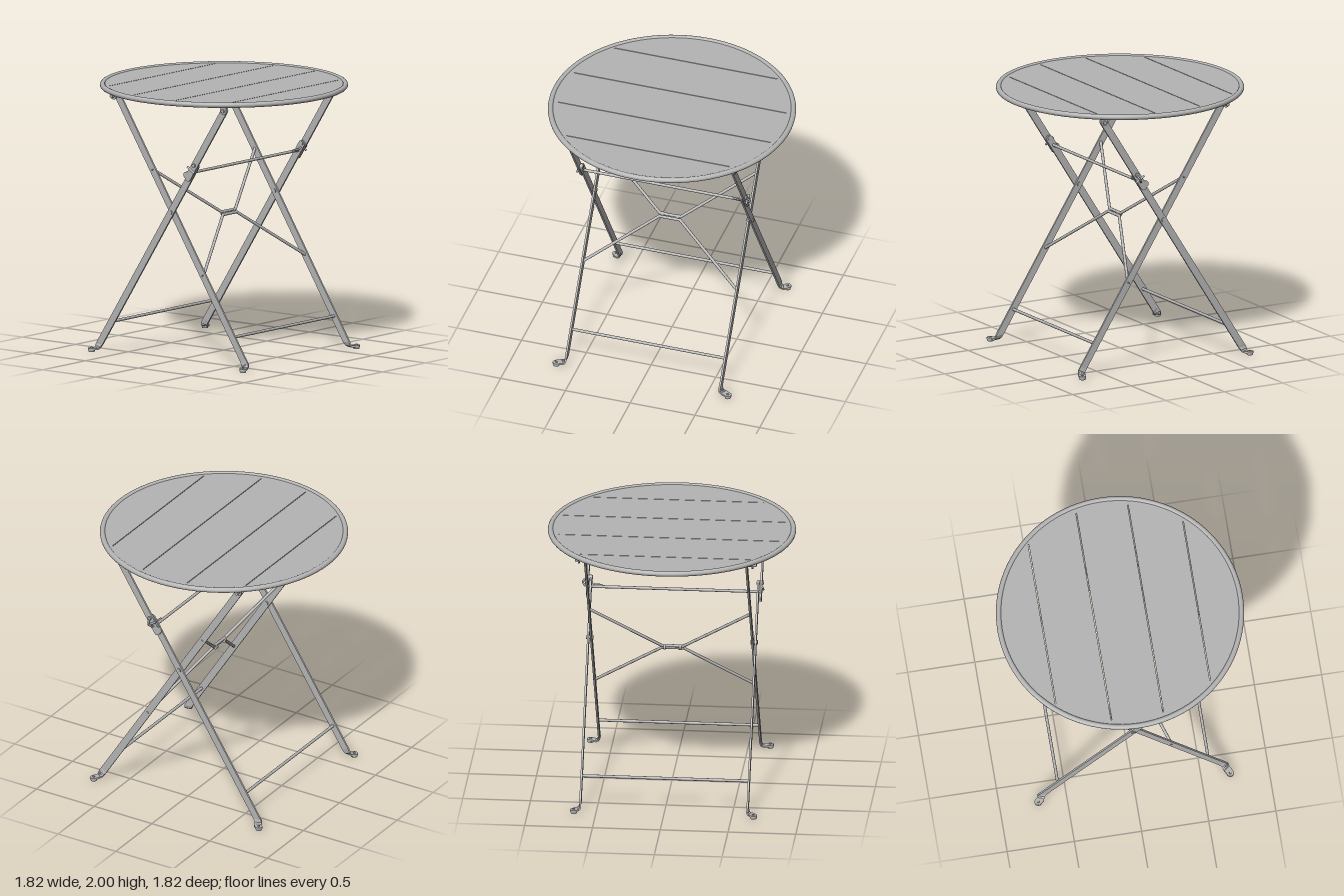
import * as THREE from 'three';

const steel = new THREE.MeshStandardMaterial({ color: 0xb4b4b4 });
steel.name = 'grey painted steel';

const V = (x, y, z) => new THREE.Vector3(x, y, z);
const SLOPE = 0.641;                                  // sideways run of a leg per unit of height
const LEAN = Math.atan(SLOPE);
const legX = (y, m) => m * (-0.525 + (1.93 - y) * SLOPE); // m = side of the foot
const INNER = 0.595, OUTER = 0.617, UPPER = 0.639;    // depth of each layer of flat bar
const WIDTH = 0.054, THICK = 0.014;

function add(parent, name, geometry, x = 0, y = 0, z = 0) {
  const mesh = new THREE.Mesh(geometry, steel);
  mesh.name = name;
  mesh.position.set(x, y, z);
  parent.add(mesh);
  return mesh;
}

// round bar between two points
function rod(parent, name, a, b, r = 0.011) {
  const mesh = add(parent, name, new THREE.CylinderGeometry(r, r, a.distanceTo(b), 14));
  mesh.position.copy(a).lerp(b, 0.5);
  mesh.quaternion.setFromUnitVectors(V(0, 1, 0), b.clone().sub(a).normalize());
  return mesh;
}

// bent round bar with smooth joints
function bentRod(parent, name, points, r = 0.011) {
  for (let i = 0; i + 1 < points.length; i++) rod(parent, name, points[i], points[i + 1], r);
  points.slice(1, -1).forEach(p => add(parent, name + 'Bend', new THREE.SphereGeometry(r, 14, 10), p.x, p.y, p.z));
}

// flat bar along a leg line, rounded at the ends asked for
function flatBar(parent, name, m, yTop, yLow, z, roundTop, roundLow) {
  const h = WIDTH / 2, len = (yTop - yLow) / Math.cos(LEAN);
  const s = new THREE.Shape();
  s.moveTo(-h, -len);
  if (roundLow) s.absarc(0, -len, h, Math.PI, 2 * Math.PI, false);
  else s.lineTo(h, -len);
  s.lineTo(h, 0);
  if (roundTop) s.absarc(0, 0, h, 0, Math.PI, false);
  else s.lineTo(-h, 0);
  const g = new THREE.ExtrudeGeometry(s, { depth: THICK, bevelEnabled: false, curveSegments: 10 });
  g.translate(0, 0, -THICK / 2);
  add(parent, name, g, legX(yTop, m), yTop, z).rotation.z = m * LEAN;
}

// foot: the flat bar twisted outward and laid flat
function foot(parent, m, s, z) {
  const wLeg = V(Math.cos(LEAN), m * Math.sin(LEAN), 0), wFoot = V(0.78, 0, -m * s * 0.62);
  const nLeg = V(0, 0, s), nFoot = V(0, 1, 0);
  const end = V(m * 0.715, 0.021, s * 0.662);
  const path = [
    [V(legX(0.07, m), 0.07, s * z), 0],
    [V(legX(0.042, m), 0.042, s * (z + 0.003)), 0.3],
    [V(m * 0.69, 0.028, s * (z + 0.012)), 0.65],
    [V(m * 0.695, 0.022, s * (z + 0.028)), 1],
    [end, 1],
  ];
  const pos = [], idx = [];
  path.forEach(([c, t], k) => {
    const w = wLeg.clone().lerp(wFoot, t).normalize().multiplyScalar(WIDTH / 2);
    const n = nLeg.clone().lerp(nFoot, t).normalize().multiplyScalar(THICK / 2);
    [[1, 1], [-1, 1], [-1, -1], [1, -1]].forEach(([a, b], i) => {
      pos.push(...c.clone().addScaledVector(w, a).addScaledVector(n, b).toArray());
      if (k === path.length - 1) return;
      const a0 = k * 4 + i, a1 = k * 4 + (i + 1) % 4, b0 = a0 + 4, b1 = a1 + 4;
      if (s > 0) idx.push(a0, a1, b1, a0, b1, b0);
      else idx.push(a0, b1, a1, a0, b0, b1);
    });
  });
  let g = new THREE.BufferGeometry();
  g.setAttribute('position', new THREE.Float32BufferAttribute(pos, 3));
  g.setIndex(idx);
  g = g.toNonIndexed();
  g.computeVertexNormals();
  add(parent, 'footBend', g);
  add(parent, 'footEnd', new THREE.CylinderGeometry(WIDTH / 2, WIDTH / 2, THICK, 20), end.x, end.y, end.z);
  add(parent, 'footGlide', new THREE.CylinderGeometry(0.025, 0.022, 0.014, 20), end.x, 0.007, end.z);
  add(parent, 'footScrew', new THREE.CylinderGeometry(0.008, 0.01, 0.008, 10), end.x, 0.031, end.z);
}

function bolt(parent, name, x, y, z0, z1, r) {
  rod(parent, name, V(x, y, z0), V(x, y, z1), r);
}

function tabletop() {
  const top = new THREE.Group();
  top.name = 'tabletop';
  // round sheet with four narrow slits
  const disc = new THREE.Shape();
  disc.absarc(0, 0, 0.89, 0, Math.PI * 2, false);
  [[-0.58, 0.63], [-0.195, 0.82], [0.19, 0.82], [0.57, 0.63]].forEach(([x, l]) => {
    const slit = new THREE.Path(), w = 0.003;
    slit.moveTo(x - w, -l);
    slit.lineTo(x - w, l);
    slit.lineTo(x + w, l);
    slit.lineTo(x + w, -l);
    disc.holes.push(slit);
  });
  const g = new THREE.ExtrudeGeometry(disc, { depth: 0.012, bevelEnabled: false, curveSegments: 48 });
  g.rotateX(-Math.PI / 2);
  add(top, 'slattedSheet', g, 0, 1.978, 0);
  add(top, 'rolledRim', new THREE.TorusGeometry(0.892, 0.02, 14, 96).rotateX(Math.PI / 2), 0, 1.98, 0);

  // rails and pivot tabs under the sheet
  for (const m of [-1, 1]) {
    const x = m * 0.525;
    add(top, 'underRail', new THREE.BoxGeometry(0.04, 0.014, 1.3), x, 1.971, 0);
    for (const s of [-1, 1]) {
      add(top, 'railScrew', new THREE.CylinderGeometry(0.011, 0.008, 0.022, 12), x, 1.955, s * 0.425);
      const tab = new THREE.Shape();
      tab.moveTo(0.03, 0.045);
      tab.lineTo(-0.03, 0.045);
      tab.lineTo(-0.028, 0);
      tab.absarc(0, 0, 0.028, Math.PI, 2 * Math.PI, false);
      const tg = new THREE.ExtrudeGeometry(tab, { depth: 0.01, bevelEnabled: false, curveSegments: 10 });
      tg.translate(0, 0, -0.005);
      const z = m > 0 ? UPPER + 0.015 : INNER + 0.045;
      add(top, 'pivotTab', tg, x, 1.926, s * z);
      bolt(top, 'pivotBolt', x, 1.926, s * (m > 0 ? 0.622 : 0.58), s * 0.67, 0.014);
    }
  }
  return top;
}

// frame whose feet stand on the +x side, with the crossed brace
function innerFrame() {
  const f = new THREE.Group();
  f.name = 'innerFrame';
  for (const s of [-1, 1]) {
    flatBar(f, 'innerLeg', 1, 1.93, 0.068, s * INNER, true, false);
    foot(f, 1, s, INNER);
    bolt(f, 'crossingRivet', 0, 1.11, s * 0.58, s * 0.632, 0.016);
    bolt(f, 'braceRivet', legX(1.035, 1) - 0.012, 1.035, s * 0.05, s * 0.066, 0.019);
  }
  rod(f, 'lowerRod', V(legX(0.235, 1), 0.235, -0.6), V(legX(0.235, 1), 0.235, 0.6));
  const at = (y, z) => V(legX(y, 1), y, z);
  for (const [yEnd, yMid] of [[1.41, 1.046], [0.66, 1.026]])
    bentRod(f, 'braceRod', [at(yEnd, 0.6), at(yMid, 0.08), at(yMid, -0.08), at(yEnd, -0.6)]);
  return f;
}

// frame whose feet stand on the -x side, with a jointed upper section
function outerFrame() {
  const f = new THREE.Group();
  f.name = 'outerFrame';
  const yRod = 1.43, xRod = legX(yRod, -1);
  for (const s of [-1, 1]) {
    flatBar(f, 'outerLeg', -1, 1.48, 0.068, s * OUTER, true, false);
    flatBar(f, 'upperLeg', -1, 1.93, 1.39, s * UPPER, true, true);
    foot(f, -1, s, OUTER);
    // latch hook, pin and joint bolt
    const hook = new THREE.CylinderGeometry(0.026, 0.026, THICK, 18).rotateX(Math.PI / 2);
    add(f, 'latchHook', hook, 0.165, 1.408, s * UPPER);
    rod(f, 'latchPin', V(0.182, 1.475, s * 0.652), V(0.248, 1.43, s * 0.652), 0.008);
    bolt(f, 'jointBolt', 0.24, 1.488, s * 0.605, s * 0.657, 0.015);
  }
  rod(f, 'lowerRod', V(legX(0.235, -1), 0.235, -0.62), V(legX(0.235, -1), 0.235, 0.62));
  rod(f, 'latchRod', V(xRod, yRod, -0.64), V(xRod, yRod, 0.645));
  // wire loop at the back end of the latch rod
  const loop = new THREE.CatmullRomCurve3([
    V(xRod, yRod, -0.63), V(xRod + 0.01, 1.432, -0.66), V(xRod + 0.025, 1.455, -0.677),
    V(xRod + 0.035, 1.477, -0.655), V(xRod + 0.035, 1.468, -0.622), V(xRod + 0.02, 1.444, -0.6),
    V(xRod + 0.01, 1.44, -0.53),
  ]);
  add(f, 'latchLoop', new THREE.TubeGeometry(loop, 40, 0.007, 8, false));
  return f;
}

export function createModel() {
  const table = new THREE.Group();
  table.name = 'foldingTable';
  table.add(tabletop(), innerFrame(), outerFrame());
  return table;
}
